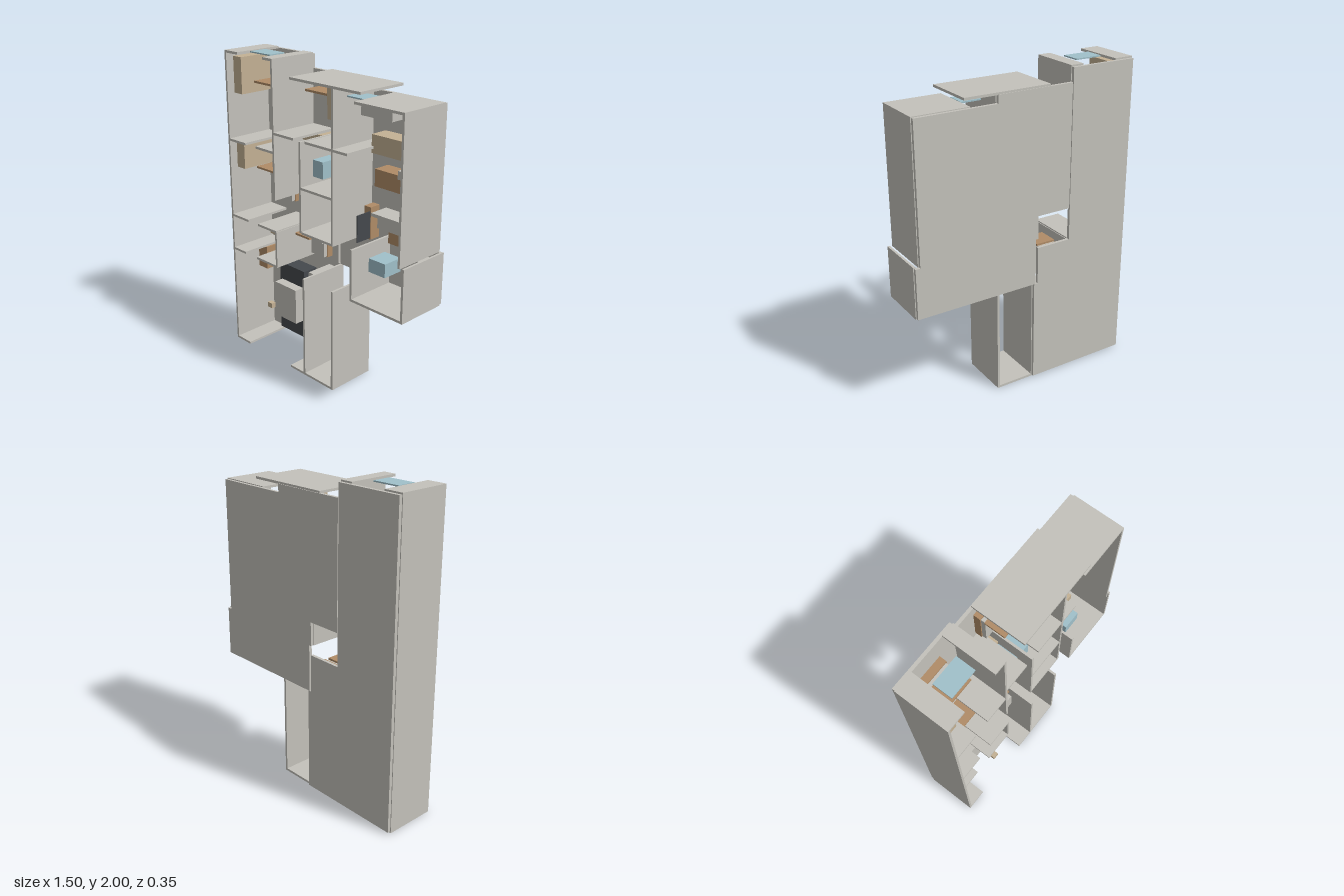
import * as THREE from 'three';

const mat = (name, color) => {
  const m = new THREE.MeshStandardMaterial({ color });
  m.name = name;
  return m;
};

export function createModel() {
  const grey = mat('plasterGrey', 0xc4c2bb);
  const tan = mat('lightWood', 0xc4b194);
  const brown = mat('warmWood', 0xb08c67);
  const blue = mat('paleBlue', 0xa0c0ca);
  const dark = mat('charcoal', 0x45494d);

  const model = new THREE.Group();
  model.name = 'uprightFloorPlan';
  const FLOOR = -0.155, BACK = -0.175, TOP = 0.175, T = 0.015;

  // Box given by its plan rectangle and depth range
  const box = (name, m, x0, x1, y0, y1, z0, z1, parent = model) => {
    const mesh = new THREE.Mesh(new THREE.BoxGeometry(x1 - x0, y1 - y0, z1 - z0), m);
    mesh.position.set((x0 + x1) / 2, (y0 + y1) / 2, (z0 + z1) / 2);
    mesh.name = name;
    parent.add(mesh);
    return mesh;
  };
  const group = (name) => {
    const g = new THREE.Group();
    g.name = name;
    model.add(g);
    return g;
  };

  // Floor slabs, one per block of rooms
  const floors = group('floors');
  [
    [-0.745, -0.31, 0.68, 1.99],
    [-0.745, -0.055, 0.01, 0.68],
    [-0.31, -0.08, 0.68, 0.92],
    [-0.305, -0.08, 1.13, 1.905],
    [-0.08, 0.195, 0.98, 1.905],
    [-0.065, 0.195, 0.68, 0.98],
    [0.195, 0.71, 0.68, 1.855],
    [0.71, 0.74, 0.68, 1.0],
  ].forEach(([a, b, c, d]) => box('floorSlab', grey, a, b, c, d, BACK, FLOOR, floors));

  // Walls running across (x0, x1, lower y)
  const walls = group('walls');
  [
    [-0.75, -0.61, 0], [-0.19, 0.2, 0],
    [-0.735, -0.62, 0.675], [-0.505, -0.305, 0.675],
    [-0.735, -0.58, 0.913], [-0.48, -0.305, 0.913],
    [-0.735, -0.58, 1.427], [-0.48, -0.305, 1.427],
    [-0.75, -0.625, 1.985], [-0.39, -0.305, 1.985],
    [-0.305, -0.13, 1.547], [-0.03, 0.31, 1.547],
    [-0.07, 0.185, 1.258], [-0.07, 0.2, 0.975],
    [0.34, 0.745, 0.675], [0.36, 0.715, 1.845],
  ].forEach(([a, b, y]) => box('crossWall', grey, a, b, y, y + T, FLOOR, TOP, walls));
  box('entranceLedge', grey, -0.155, 0.405, 1.902, 1.917, -0.17, TOP, walls);

  // Walls running upward (left x, y0, y1)
  [
    [-0.75, 0, 2], [-0.32, 1.13, 2], [-0.315, 0.68, 0.92],
    [-0.065, 0, 0.68], [0.185, 0, 0.68],
    [-0.085, 0.98, 1.55], [0.185, 0.98, 1.905],
    [0.34, 0.68, 1.0], [0.7, 1.0, 1.86], [0.73, 0.675, 1.005],
  ].forEach(([x, c, d]) => box('uprightWall', grey, x, x + T, c, d, FLOOR, TOP, walls));

  // Window panes
  box('windowPane', blue, -0.61, -0.43, 1.99, 1.998, -0.035, 0.085);
  box('windowPane', blue, 0.22, 0.35, 1.848, 1.856, -0.035, 0.085);

  // Beds: frame, mattress, headboard and pillow
  const bed = (x0, x1, y0, y1, px0, px1, py0, py1) => {
    const g = group('bed');
    box('bedFrame', brown, x0, x1, y0, y1, FLOOR, -0.11, g);
    box('mattress', grey, x0 + 0.006, x1 - 0.006, y0 + 0.006, y1 - 0.012, -0.11, -0.083, g);
    box('headboard', brown, x0, x1, y1 - 0.013, y1, -0.083, 0.05, g);
    box('pillow', grey, px0, px1, py0, py1, -0.083, -0.065, g);
  };
  bed(-0.625, -0.435, 1.57, 1.81, -0.51, -0.445, 1.74, 1.785);
  bed(-0.625, -0.435, 1.02, 1.255, -0.51, -0.445, 1.185, 1.23);
  bed(-0.16, 0.045, 1.595, 1.83, -0.035, 0.035, 1.76, 1.805);
  bed(-0.265, -0.135, 0.715, 0.895, -0.18, -0.14, 0.82, 0.87);

  // Furniture standing on the floor: name, colour, x0, x1, y0, y1, height limit
  [
    ['wardrobe', tan, -0.73, -0.655, 1.73, 1.96, 0.125],
    ['wardrobe', tan, -0.73, -0.655, 1.245, 1.42, 0.125],
    ['wardrobe', tan, 0.105, 0.17, 1.71, 1.89, 0.125],
    ['sideboard', tan, -0.285, -0.11, 1.485, 1.54, -0.04],
    ['washstand', tan, 0.03, 0.1, 1.465, 1.525, -0.04],
    ['kitchenIsland', tan, 0.295, 0.53, 1.52, 1.63, -0.04],
    ['desk', tan, -0.625, -0.44, 0.765, 0.845, -0.045],
    ['sideTable', tan, 0.585, 0.66, 0.76, 0.815, -0.05],
    ['diningTable', brown, 0.32, 0.535, 1.325, 1.43, -0.045],
    ['workbench', brown, -0.72, -0.635, 0.5, 0.66, -0.02],
    ['coffeeTable', brown, 0.395, 0.54, 0.98, 1.055, -0.09],
    ['mediaCabinet', brown, 0.21, 0.262, 0.965, 1.17, -0.08],
    ['kitchenCounter', grey, 0.055, 0.435, 1.72, 1.795, -0.05],
    ['diningChair', grey, 0.5, 0.555, 1.41, 1.46, -0.035],
    ['deskChair', grey, -0.56, -0.5, 0.695, 0.76, -0.06],
    ['toilet', grey, 0.085, 0.135, 1.285, 1.365, -0.07],
    ['basin', grey, -0.235, -0.16, 1.15, 1.225, -0.06],
    ['armchair', grey, 0.615, 0.67, 0.87, 0.95, -0.06],
    ['cabinet', grey, 0.235, 0.29, 0.74, 0.855, 0.05],
    ['utilityUnit', grey, -0.165, -0.09, 0.495, 0.645, 0.03],
    ['sofaSeat', grey, 0.315, 0.625, 1.055, 1.145, -0.08],
    ['sofaBack', grey, 0.315, 0.625, 1.145, 1.165, -0.025],
  ].forEach(([n, m, a, b, c, d, z]) => box(n, m, a, b, c, d, FLOOR, z));

  // Raised blue units and the screen
  box('showerUnit', blue, -0.095, 0.015, 1.32, 1.425, -0.06, 0.075);
  box('bathUnit', blue, 0.405, 0.53, 0.855, 0.94, -0.05, 0.085);
  box('screen', dark, 0.262, 0.268, 0.98, 1.15, -0.07, 0.04);

  // Parked car with cabin, and the small lamp above it
  const car = group('car');
  box('carBody', dark, -0.53, -0.29, 0.09, 0.58, FLOOR, -0.045, car);
  box('carSidePart', dark, -0.29, -0.275, 0.455, 0.54, FLOOR, -0.06, car);
  box('carCabin', grey, -0.51, -0.305, 0.215, 0.46, -0.045, 0.02, car);
  box('garageLamp', tan, -0.435, -0.395, 0.345, 0.38, 0.12, 0.15);

  return model;
}
